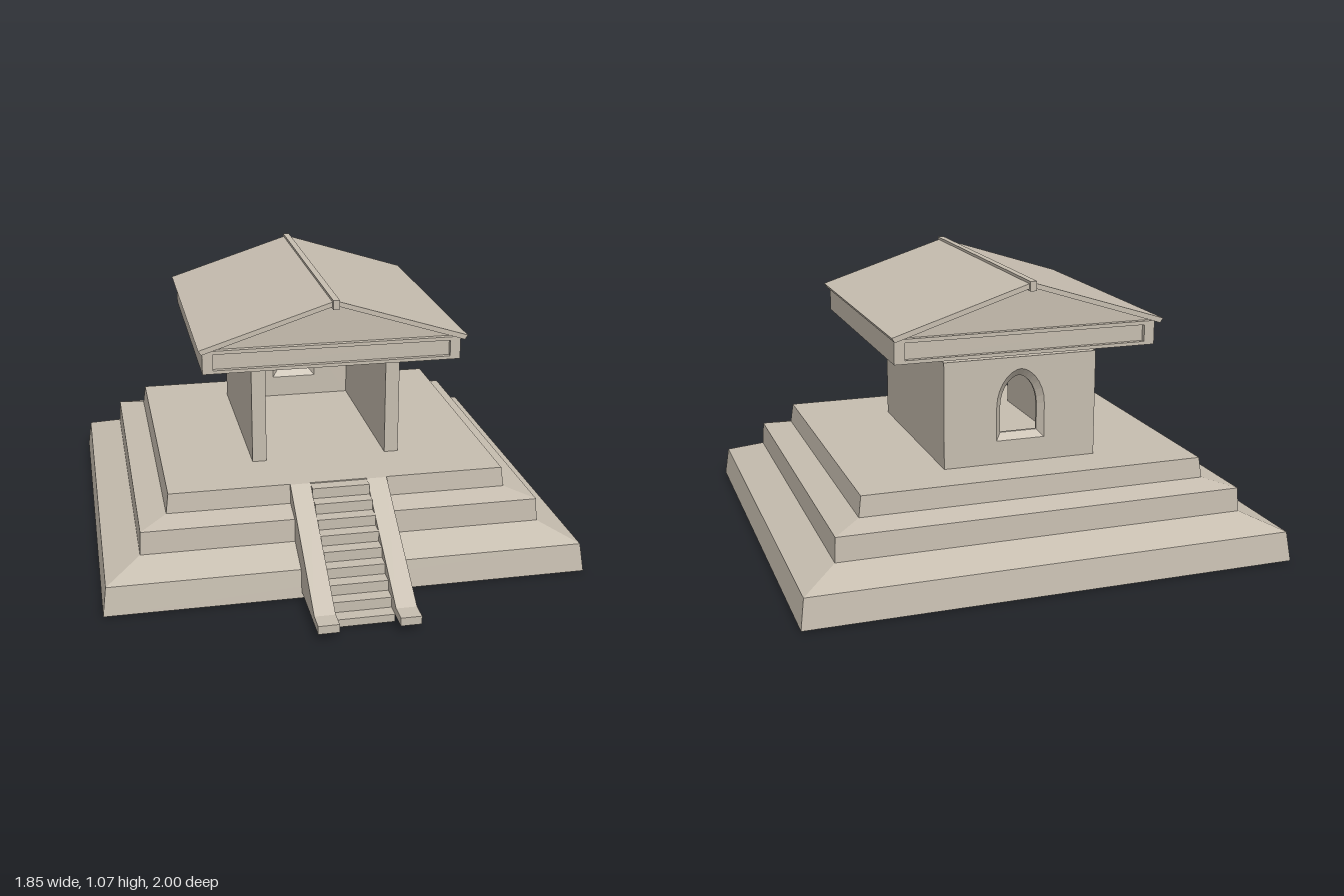
import * as THREE from 'three';

const CZ = -0.155; // centre of the platform and temple along z
const stone = new THREE.MeshStandardMaterial({ color: 0xc6bdaf });
stone.name = 'stone';

function add(parent, name, geometry, x = 0, y = 0, z = 0) {
  const mesh = new THREE.Mesh(geometry, stone);
  mesh.name = name;
  mesh.position.set(x, y, z);
  parent.add(mesh);
  return mesh;
}

const polygon = (pts) => new THREE.Shape(pts.map(([x, y]) => new THREE.Vector2(x, y)));

const extrude = (shape, depth) => new THREE.ExtrudeGeometry(shape, { depth, bevelEnabled: false });

// Extrude a (z, y) side profile across x, centred on x = 0
function sideProfile(pts, width) {
  return extrude(polygon(pts), width).rotateY(-Math.PI / 2).translate(width / 2, 0, 0);
}

// Flat-shaded skin between closed loops of [x, y, z] points
function loft(loops, caps = false) {
  const p = [];
  const n = loops[0].length;
  for (let r = 0; r < loops.length - 1; r++) {
    for (let i = 0; i < n; i++) {
      const j = (i + 1) % n;
      const [a, b, c, d] = [loops[r][i], loops[r][j], loops[r + 1][j], loops[r + 1][i]];
      p.push(...a, ...b, ...c, ...a, ...c, ...d);
    }
  }
  if (caps) {
    const lo = loops[0], hi = loops[loops.length - 1];
    for (let i = 1; i < n - 1; i++) {
      p.push(...lo[0], ...lo[i + 1], ...lo[i], ...hi[0], ...hi[i], ...hi[i + 1]);
    }
  }
  const g = new THREE.BufferGeometry();
  g.setAttribute('position', new THREE.Float32BufferAttribute(p, 3));
  g.computeVertexNormals();
  return g;
}

// Slightly pointed arch outline, counter-clockwise from lower left
function archPoints(half, sill, spring, top) {
  const pts = [[-half, sill], [half, sill]];
  const steps = 7;
  const arc = [];
  for (let i = 0; i <= steps; i++) {
    const t = (i / steps) * Math.PI / 2;
    arc.push([half * Math.pow(Math.cos(t), 1.15), spring + (top - spring) * Math.sin(t)]);
  }
  arc[steps][0] = 0;
  pts.push(...arc);
  for (let i = steps - 1; i >= 0; i--) pts.push([-arc[i][0], arc[i][1]]);
  return pts;
}

function buildPlatform(root) {
  const levels = [
    [0.004, 0.925, 0.845], [0.115, 0.91, 0.83],
    [0.17, 0.775, 0.705], [0.26, 0.77, 0.70],
    [0.285, 0.665, 0.61], [0.362, 0.655, 0.603],
  ];
  const loops = levels.map(([y, x, z]) => [[-x, y, z], [x, y, z], [x, y, -z], [-x, y, -z]]);
  add(root, 'steppedPlatform', loft(loops, true), 0, 0, CZ);
}

function buildStairs(root) {
  const stairs = new THREE.Group();
  stairs.name = 'stairs';
  const count = 9, run = 0.0525, rise = 0.041;
  const pts = [[0.44, 0], [0.918, 0]];
  for (let i = 0; i < count; i++) {
    const y = 0.03 + i * rise;
    pts.push([0.918 - i * run, y], [0.918 - (i + 1) * run, y]);
  }
  add(stairs, 'steps', sideProfile(pts, 0.222));

  // Sloping side walls with a short flat foot
  const rail = [[0.43, 0.028], [1, 0.028], [1, 0.06], [0.93, 0.06], [0.452, 0.362], [0.43, 0.362]];
  for (const s of [-1, 1]) add(stairs, s > 0 ? 'leftStairWall' : 'rightStairWall', sideProfile(rail, 0.078), s * 0.15);
  root.add(stairs);
}

function buildChamber(root) {
  const chamber = new THREE.Group();
  chamber.name = 'chamber';
  const y0 = 0.36, y1 = 0.765, back = -0.585, thick = 0.06;
  for (const s of [-1, 1]) {
    add(chamber, s > 0 ? 'leftWall' : 'rightWall',
      new THREE.BoxGeometry(0.056, y1 - y0, 0.79), s * 0.269, (y0 + y1) / 2, -0.19);
  }

  // Back wall with an arched window splayed on both faces
  const outer = archPoints(0.094, 0.45, 0.58, 0.72);
  const inner = archPoints(0.072, 0.475, 0.575, 0.69);
  const wall = polygon([[-0.241, y0], [0.241, y0], [0.241, y1], [-0.241, y1]]);
  wall.holes.push(new THREE.Path(outer.map(([x, y]) => new THREE.Vector2(x, y))));
  add(chamber, 'backWall', extrude(wall, thick), 0, 0, back);
  const ring = (pts, z) => pts.map(([x, y]) => [x, y, z]);
  const reveal = loft([
    ring(outer, thick), ring(inner, thick * 0.6), ring(inner, thick * 0.4), ring(outer, 0),
  ]);
  add(chamber, 'windowReveal', reveal, 0, 0, back);
  root.add(chamber);
}

function buildRoof(root) {
  const roof = new THREE.Group();
  roof.name = 'roof';
  roof.position.z = CZ;

  // Hollow beam ring under the roof
  for (const s of [-1, 1]) {
    add(roof, s > 0 ? 'leftBeam' : 'rightBeam',
      new THREE.BoxGeometry(0.04, 0.092, 0.93), s * 0.48, 0.836, 0);
  }

  // Gable ends: framed beam, sunken panel and recessed triangle
  for (const s of [1, -1]) {
    const gable = new THREE.Group();
    gable.name = s > 0 ? 'frontGable' : 'backGable';
    gable.rotation.y = s > 0 ? 0 : Math.PI;
    const frame = polygon([[-0.5, 0.79], [0.5, 0.79], [0.5, 0.88], [-0.5, 0.88]]);
    frame.holes.push(polygon([[-0.46, 0.803], [0.46, 0.803], [0.46, 0.866], [-0.46, 0.866]]));
    add(gable, 'endBeam', extrude(frame, 0.04), 0, 0, 0.46);
    add(gable, 'sunkenPanel', new THREE.BoxGeometry(0.924, 0.068, 0.02), 0, 0.8345, 0.472);
    add(gable, 'gableTriangle',
      extrude(polygon([[-0.5, 0.88], [0.5, 0.88], [0, 1.042]]), 0.02), 0, 0, 0.46);
    roof.add(gable);
  }

  // Two sloping slabs as one bent plate
  const slab = polygon([
    [-0.517, 0.895], [-0.506, 0.878], [0, 1.04], [0.506, 0.878], [0.517, 0.895], [0, 1.059],
  ]);
  add(roof, 'roofSlabs', extrude(slab, 1.07), 0, 0, -0.535);
  add(roof, 'ridgeCap', new THREE.BoxGeometry(0.025, 0.036, 1.094), 0, 1.047, 0.002);
  root.add(roof);
}

export function createModel() {
  const root = new THREE.Group();
  root.name = 'temple';
  buildPlatform(root);
  buildStairs(root);
  buildChamber(root);
  buildRoof(root);
  return root;
}
